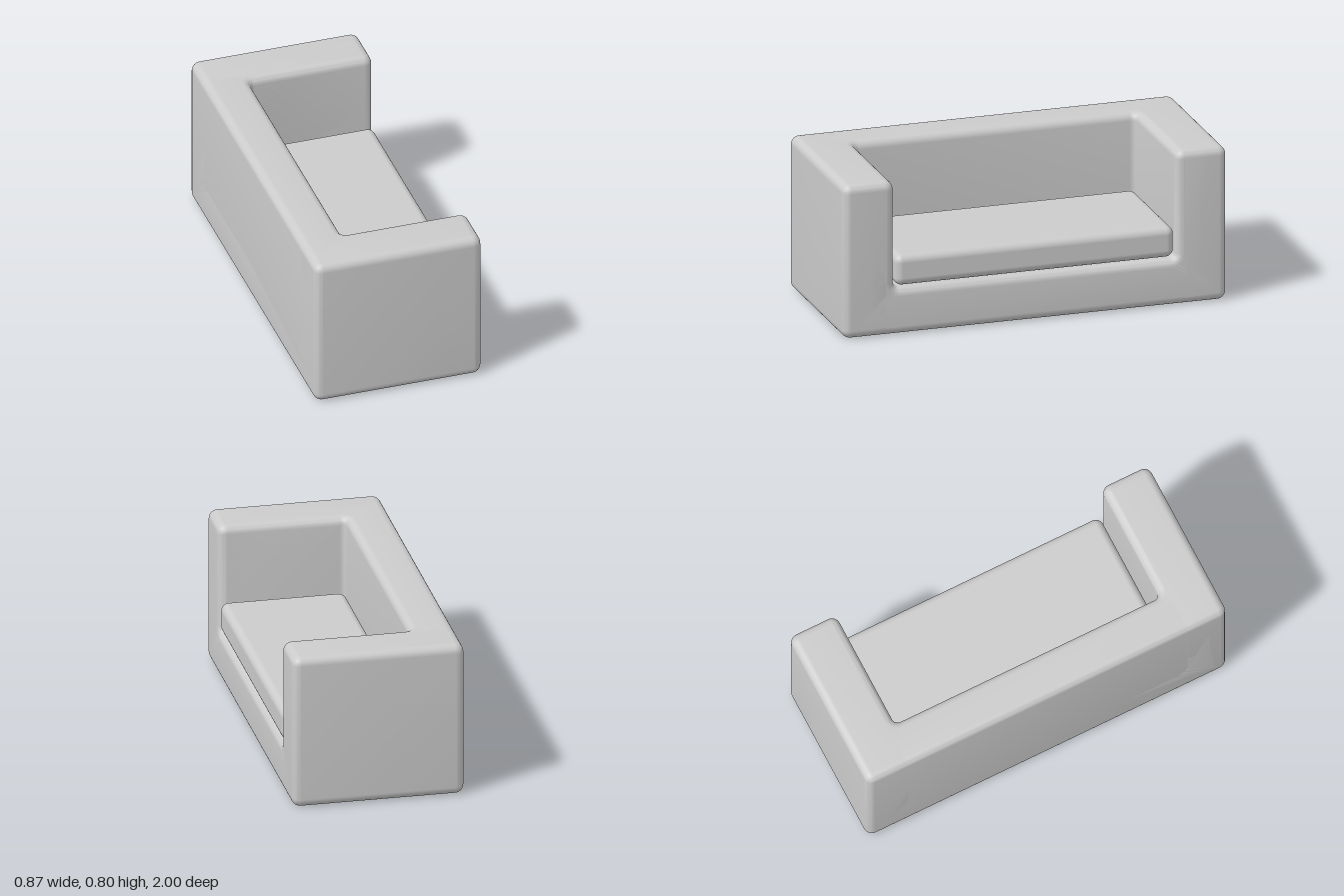
import * as THREE from 'three';
import { toCreasedNormals } from 'three/addons/utils/BufferGeometryUtils.js';
import { RoundedBoxGeometry } from 'three/addons/geometries/RoundedBoxGeometry.js';

const HALF_DEPTH = 0.435, HEIGHT = 0.8, HALF_LENGTH = 1;
const ARM_INNER = 0.735, SEAT_Y = 0.24, BACK_X = -0.21;
const BEVEL = 0.042, CORNER = 0.045, FILLET = 0.03;

// Closed outline (counter-clockwise) with every corner rounded by a true arc;
// outer corners get CORNER, inward corners get FILLET.
function roundedOutline(points) {
  const shape = new THREE.Shape();
  const p = points.map(([x, y]) => new THREE.Vector2(x, y));
  p.forEach((corner, i) => {
    const into = corner.clone().sub(p[(i + p.length - 1) % p.length]).normalize();
    const out = p[(i + 1) % p.length].clone().sub(corner).normalize();
    const inward = into.cross(out) < 0;
    const r = inward ? FILLET : CORNER;
    const c = corner.clone().addScaledVector(into, -r).addScaledVector(out, r);
    shape.absarc(c.x, c.y, r, Math.atan2(-out.y, -out.x), Math.atan2(into.y, into.x), inward);
  });
  return shape;
}

// Outline extruded to a total thickness, centred, with soft edges.
function softExtrude(points, thickness) {
  const geometry = new THREE.ExtrudeGeometry(roundedOutline(points), {
    depth: thickness - 2 * BEVEL,
    bevelThickness: BEVEL,
    bevelSize: BEVEL,
    bevelOffset: -BEVEL,
    bevelSegments: 8,
    curveSegments: 8,
  });
  geometry.translate(0, 0, BEVEL - thickness / 2);
  return toCreasedNormals(geometry, 0.5);
}

export function createModel() {
  const sofa = new THREE.Group();
  sofa.name = 'sofa';
  const material = new THREE.MeshStandardMaterial({ color: 0xcccccc });
  const add = (name, geometry) => {
    const mesh = new THREE.Mesh(geometry, material);
    mesh.name = name;
    sofa.add(mesh);
    return mesh;
  };

  // Base with both arms: a U outline running through the full depth
  const base = softExtrude([
    [-HALF_LENGTH, 0], [HALF_LENGTH, 0], [HALF_LENGTH, HEIGHT], [ARM_INNER, HEIGHT],
    [ARM_INNER, SEAT_Y], [-ARM_INNER, SEAT_Y], [-ARM_INNER, HEIGHT], [-HALF_LENGTH, HEIGHT],
  ], 2 * HALF_DEPTH);
  add('baseAndArms', base.rotateY(Math.PI / 2));

  // Backrest wrapping into the arms: a U plan running through the full height
  const back = softExtrude([
    [-HALF_DEPTH, -HALF_LENGTH], [HALF_DEPTH, -HALF_LENGTH], [HALF_DEPTH, -ARM_INNER],
    [BACK_X, -ARM_INNER], [BACK_X, ARM_INNER], [HALF_DEPTH, ARM_INNER],
    [HALF_DEPTH, HALF_LENGTH], [-HALF_DEPTH, HALF_LENGTH],
  ], HEIGHT);
  add('backrest', back.rotateX(-Math.PI / 2)).position.y = HEIGHT / 2;

  // Loose seat cushion
  const cushion = add('seatCushion', new RoundedBoxGeometry(0.635, 0.16, 1.455, 6, 0.04));
  cushion.position.set(0.113, 0.328, 0);

  return sofa;
}
